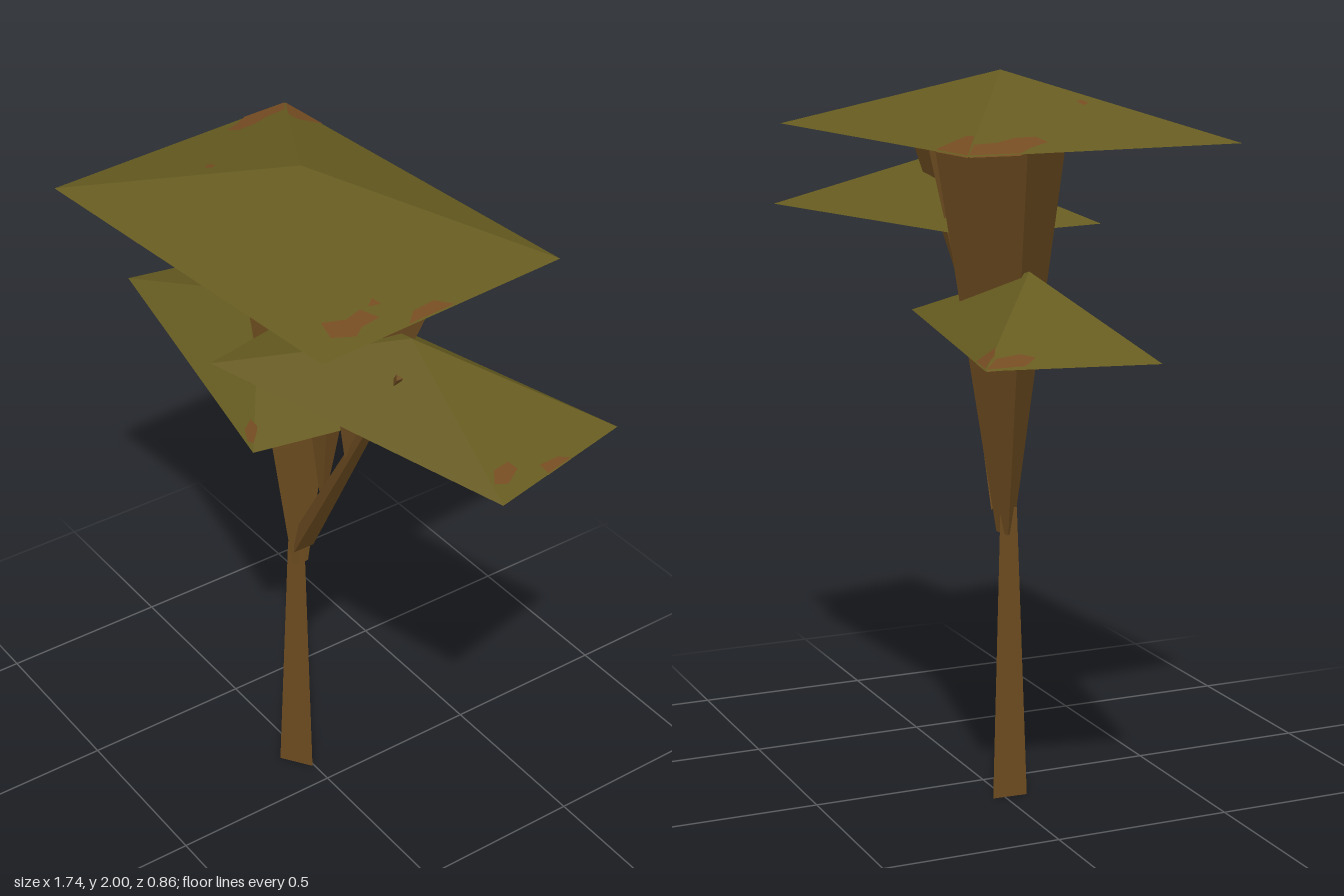
import * as THREE from 'three';

const bark = new THREE.MeshStandardMaterial({ name: 'bark', color: 0x6b4a1f, flatShading: true });
const leaf = new THREE.MeshStandardMaterial({ name: 'olive leaf', color: 0x665b20, flatShading: true, side: THREE.DoubleSide });
const dry = new THREE.MeshStandardMaterial({ name: 'dry leaf', color: 0x754c22, side: THREE.DoubleSide });

function facets(points, material, name) {
  const g = new THREE.BufferGeometry();
  g.setAttribute('position', new THREE.Float32BufferAttribute(points.flat(), 3));
  g.computeVertexNormals();
  const mesh = new THREE.Mesh(g, material);
  mesh.name = name;
  return mesh;
}

// Three-sided tapering limb between two triangles (counter-clockwise from above)
function limb(name, b, t) {
  const p = [b[2], b[1], b[0], t[0], t[1], t[2]];
  for (let i = 0; i < 3; i++) {
    const j = (i + 1) % 3;
    p.push(b[i], b[j], t[j], b[i], t[j], t[i]);
  }
  return facets(p, bark, name);
}

// Copy of a triangle, shrunk around its centre and moved to a new centre
function shrink(tri, k, center) {
  const mid = [0, 1, 2].map(a => (tri[0][a] + tri[1][a] + tri[2][a]) / 3);
  return tri.map(v => v.map((c, a) => center[a] + (c - mid[a]) * k));
}

// Open-bottomed pyramid with dry patches lying on its faces, both sides
function canopy(name, corners, baseY, apex, patches) {
  const group = new THREE.Group();
  group.name = name;
  const c = corners.map(([x, z]) => [x, baseY, z]);
  const faces = c.map((v, i) => [c[(i + 1) % 4], v, apex]);
  group.add(facets(faces.flat(), leaf, name + 'Leaves'));
  for (const [face, outline] of patches) {
    const plane = new THREE.Plane().setFromCoplanarPoints(...faces[face].map(v => new THREE.Vector3(...v)));
    const n = plane.normal;
    for (const lift of [0.003, -0.003]) {
      const g = new THREE.ShapeGeometry(new THREE.Shape(outline.map(([x, z]) => new THREE.Vector2(x, -z))));
      const pos = g.attributes.position;
      for (let i = 0; i < pos.count; i++) {
        const x = pos.getX(i), z = -pos.getY(i);
        pos.setXYZ(i, x, lift - (n.x * x + n.z * z + plane.constant) / n.y, z);
      }
      g.computeVertexNormals();
      const mesh = new THREE.Mesh(g, dry);
      mesh.name = 'dryPatch';
      group.add(mesh);
    }
  }
  return group;
}

export function createModel() {
  const tree = new THREE.Group();
  tree.name = 'tree';

  // Trunk
  const foot = [[-0.155, 0, 0.065], [-0.07, 0, 0.006], [-0.15, 0, -0.035]];
  tree.add(limb('trunk', foot, shrink(foot, 0.48, [-0.12, 0.82, 0.016])));

  // Large flaring main branch
  const mainTop = [[-0.462, 1.84, -0.08], [-0.15, 1.88, 0.185], [-0.145, 1.875, -0.212]];
  tree.add(limb('mainBranch', shrink(mainTop, 0.13, [-0.12, 0.75, 0.016]), mainTop));

  // Thin slanting branch
  const ring = (x, y, z, r) => [
    [x - 0.85 * r, y + 0.52 * r, z],
    [x + 0.425 * r, y - 0.26 * r, z + 0.87 * r],
    [x + 0.425 * r, y - 0.26 * r, z - 0.87 * r],
  ];
  tree.add(limb('sideBranch', ring(-0.11, 0.82, 0.016, 0.038), ring(0.425, 1.685, 0.085, 0.011)));

  // Two flaring twigs on the slanting branch
  const innerTop = [[-0.095, 1.845, 0.07], [0.133, 1.845, 0.07], [0.02, 1.83, -0.16]];
  tree.add(limb('innerTwig', shrink(innerTop, 0.08, [0.022, 1.08, 0.03]), innerTop));
  const outerTop = [[0.125, 1.8, -0.062], [0.23, 1.787, 0.17], [0.342, 1.77, -0.062]];
  tree.add(limb('outerTwig', shrink(outerTop, 0.09, [0.17, 1.29, 0.05]), outerTop));

  // Canopies; faces run 0 back, 1 left (+x), 2 front, 3 right (-x)
  tree.add(canopy('topCanopy',
    [[-0.708, -0.35], [0.4, -0.434], [0.46, 0.337], [-0.647, 0.425]], 1.835, [-0.124, 2, -0.005], [
      [3, [[-0.705, -0.345], [-0.64, -0.305], [-0.63, -0.24], [-0.6, -0.18], [-0.595, -0.12], [-0.63, -0.105], [-0.66, -0.16], [-0.698, -0.21]]],
      [0, [[-0.705, -0.349], [-0.535, -0.361], [-0.55, -0.285], [-0.585, -0.28], [-0.62, -0.3]]],
      [1, [[0.425, -0.08], [0.436, 0.065], [0.405, 0.03], [0.395, -0.04]]],
      [1, [[0.35, 0.15], [0.39, 0.12], [0.4, 0.18], [0.42, 0.21], [0.4, 0.27], [0.35, 0.265], [0.365, 0.2]]],
      [1, [[0.33, 0.1], [0.355, 0.09], [0.35, 0.125]]],
      [3, [[-0.39, 0.11], [-0.365, 0.1], [-0.35, 0.12], [-0.37, 0.13]]],
    ]));
  tree.add(canopy('leftCanopy',
    [[-0.145, -0.103], [0.769, -0.332], [0.867, 0.103], [-0.047, 0.332]], 1.57, [0.361, 1.735, 0], [
      [1, [[0.808, -0.152], [0.828, -0.065], [0.8, -0.06], [0.795, -0.12]]],
      [1, [[0.765, 0.01], [0.79, 0], [0.82, 0.05], [0.81, 0.085], [0.775, 0.06]]],
    ]));
  tree.add(canopy('rightCanopy',
    [[-0.792, -0.341], [0.148, -0.149], [0.066, 0.281], [-0.874, 0.089]], 1.335, [-0.363, 1.5, -0.03], [
      [3, [[-0.79, -0.338], [-0.75, -0.295], [-0.745, -0.23], [-0.77, -0.2], [-0.8, -0.24]]],
      [0, [[-0.78, -0.337], [-0.68, -0.317], [-0.7, -0.275], [-0.74, -0.295]]],
      [2, [[0.02, 0.268], [0.045, 0.265], [0.01, 0.23], [-0.03, 0.225], [-0.02, 0.25]]],
    ]));
  return tree;
}
